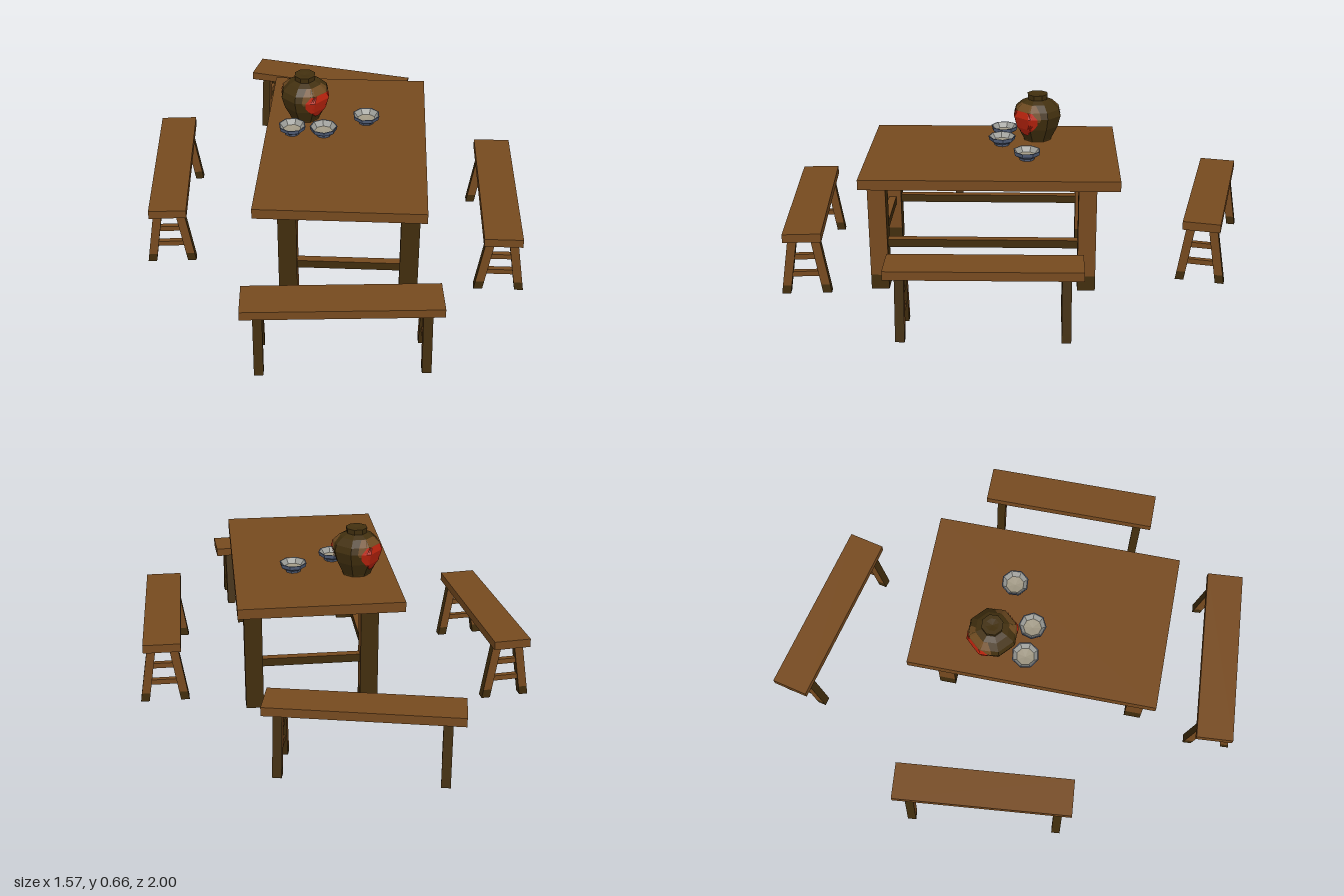
import * as THREE from 'three';

const mat = (name, color) => Object.assign(new THREE.MeshStandardMaterial({ color }), { name });

export function createModel() {
  const wood = mat('brown wood', 0x764a1f);
  const darkWood = mat('dark olive wood', 0x412d0d);
  const clay = mat('dark clay', 0x42300f);
  const tan = mat('tan glaze', 0x6e4a20);
  const red = mat('red label', 0xbe240e);
  const slate = mat('slate blue glaze', 0x55627c);
  const pale = mat('pale grey glaze', 0x9d9e99);
  const beige = mat('beige bowl floor', 0xa09884);
  const model = new THREE.Group();
  model.name = 'diningSet';

  const add = (parent, name, geometry, material, x = 0, y = 0, z = 0) => {
    const mesh = new THREE.Mesh(geometry, material);
    mesh.name = name;
    mesh.position.set(x, y, z);
    parent.add(mesh);
    return mesh;
  };
  const group = (name, x, z, angle) => {
    const g = new THREE.Group();
    g.name = name;
    g.position.set(x, 0, z);
    g.rotation.y = angle;
    model.add(g);
    return g;
  };
  const box = (parent, name, m, w, h, d, x, y, z) =>
    add(parent, name, new THREE.BoxGeometry(w, h, d), m, x, y, z);
  const flat = (g) => {
    const f = g.toNonIndexed();
    f.computeVertexNormals();
    return f;
  };
  const lathe = (pts, sides) =>
    flat(new THREE.LatheGeometry(pts.map((p) => new THREE.Vector2(p[0], p[1])), sides));
  // face colours in the order +x, -x, +y, -y, +z, -z
  const legMats = [wood, wood, darkWood, darkWood, darkWood, darkWood];
  const stretcherMats = [darkWood, darkWood, wood, darkWood, darkWood, darkWood];

  // Table
  const table = group('table', 0.016, 0.127, -0.372);
  box(table, 'tableTop', wood, 0.633, 0.04, 0.988, 0, 0.445, 0);
  const cx = 0.032, cz = 0.028;
  for (const s of [-1, 1]) {
    for (const t of [-1, 1]) {
      const x = cx + s * 0.225, z = cz + t * 0.4;
      box(table, 'tableLeg', legMats, 0.069, 0.365, 0.069, x, 0.2425, z);
      box(table, 'tableFoot', darkWood, 0.069, 0.06, 0.069, x, 0.03, z);
    }
    box(table, 'longStretcher', stretcherMats, 0.03, 0.032, 0.732, cx + s * 0.225, 0.187, cz);
    box(table, 'shortStretcher', stretcherMats, 0.382, 0.032, 0.03, cx, 0.187, cz + s * 0.4);
  }

  // Leg section leaning inward as it rises
  const legZ = (y) => 0.079 - 0.037 * (y / 0.235);
  const splayedLeg = (parent, name, m, x, side, y0, y1) => {
    const g = new THREE.BoxGeometry(0.034, y1 - y0, 0.034).translate(0, (y0 + y1) / 2, 0);
    const p = g.attributes.position;
    for (let i = 0; i < p.count; i++) p.setZ(i, p.getZ(i) + side * legZ(p.getY(i)));
    g.computeVertexNormals();
    add(parent, name, g, m, x);
  };

  // Benches: centre, direction of the long side, and offset of the legs along it
  const benches = [
    ['frontBench', -0.231, 0.815, 0.68, 0.21, 0.002],
    ['rightBench', -0.607, -0.236, -0.195, 0.685, 0.005],
    ['leftBench', 0.582, 0.354, -0.255, 0.66, 0.002],
    ['backBench', 0.242, -0.741, 0.595, 0.4, 0.003],
  ];
  for (const [name, x, z, dx, dz, shift] of benches) {
    const bench = group(name, x, z, Math.atan2(-dz, dx));
    box(bench, 'seat', wood, 0.714, 0.034, 0.146, 0, 0.251, 0);
    for (const end of [-1, 1]) {
      const ex = end * 0.297 + shift;
      for (const side of [-1, 1]) {
        splayedLeg(bench, 'benchLeg', legMats, ex, side, 0.035, 0.235);
        splayedLeg(bench, 'benchFoot', darkWood, ex, side, 0, 0.035);
      }
      for (const y of [0.08, 0.152])
        box(bench, 'rung', wood, 0.02, 0.021, 2 * legZ(y) - 0.03, ex, y, 0);
    }
  }

  // Jar, eight-sided, with its foot let into the table top
  const jarProfile = [
    [0.055, 0.423], [0.059, 0.47], [0.087, 0.525], [0.1, 0.572],
    [0.093, 0.598], [0.066, 0.623], [0.041, 0.635], [0.043, 0.656], [0.026, 0.656], [0, 0.652],
  ];
  const jar = group('jar', -0.077, -0.1, 0.46);
  add(jar, 'jarBody', lathe(jarProfile, 8).rotateY(Math.PI / 8), clay);
  add(jar, 'jarBase', lathe([[0, 0.423], jarProfile[0]], 8).rotateY(Math.PI / 8), tan);

  // Thin patch following the jar's facets; rows are [height, half angle]
  const radiusAt = (y) => {
    const i = jarProfile.findIndex((p) => p[1] >= y);
    const [r0, y0] = jarProfile[i - 1], [r1, y1] = jarProfile[i];
    return r0 + ((r1 - r0) * (y - y0)) / (y1 - y0);
  };
  const patch = (rows, lift) => {
    const n = 16, pos = [], idx = [];
    rows.forEach(([y, half], r) => {
      for (let i = 0; i <= n; i++) {
        const a = half * ((2 * i) / n - 1);
        const off = a - Math.round(a / (Math.PI / 4)) * (Math.PI / 4);
        const rad = (radiusAt(y) * Math.cos(Math.PI / 8)) / Math.cos(off) + lift;
        pos.push(rad * Math.sin(a), y, rad * Math.cos(a));
        if (r && i) {
          const b = r * (n + 1) + i, c = b - n - 1;
          idx.push(c - 1, c, b, c - 1, b, b - 1);
        }
      }
    });
    const g = new THREE.BufferGeometry();
    g.setAttribute('position', new THREE.Float32BufferAttribute(pos, 3));
    g.setIndex(idx);
    return flat(g);
  };
  const labelRows = [[0.495, 0.15], [0.525, 0.55], [0.548, 0.75], [0.572, 0.75], [0.598, 0.5]];
  const tanRows = [[0.56, 0.85], [0.572, 0.9], [0.598, 0.85], [0.623, 0.65]];
  for (const turn of [0, Math.PI]) {
    add(jar, 'jarGlaze', patch(tanRows, 0.0015), tan).rotation.y = turn;
    add(jar, 'jarLabel', patch(labelRows, 0.004), red).rotation.y = turn;
  }

  // Bowls
  const bowlOuter = [[0, 0.465], [0.03, 0.465], [0.032, 0.474], [0.051, 0.486], [0.055, 0.502], [0.051, 0.502]];
  const bowlWall = [[0.051, 0.502], [0.036, 0.482]];
  const bowlFloor = [[0.036, 0.482], [0, 0.476]];
  for (const [x, z, a] of [[-0.166, 0.012, 0.2], [-0.052, 0.062, 0.5], [0.14, 0.027, 0.1]]) {
    const bowl = group('bowl', x, z, a);
    add(bowl, 'bowlOutside', lathe(bowlOuter, 8), slate);
    add(bowl, 'bowlWall', lathe(bowlWall, 8), pale);
    add(bowl, 'bowlFloor', lathe(bowlFloor, 8), beige);
  }
  return model;
}
